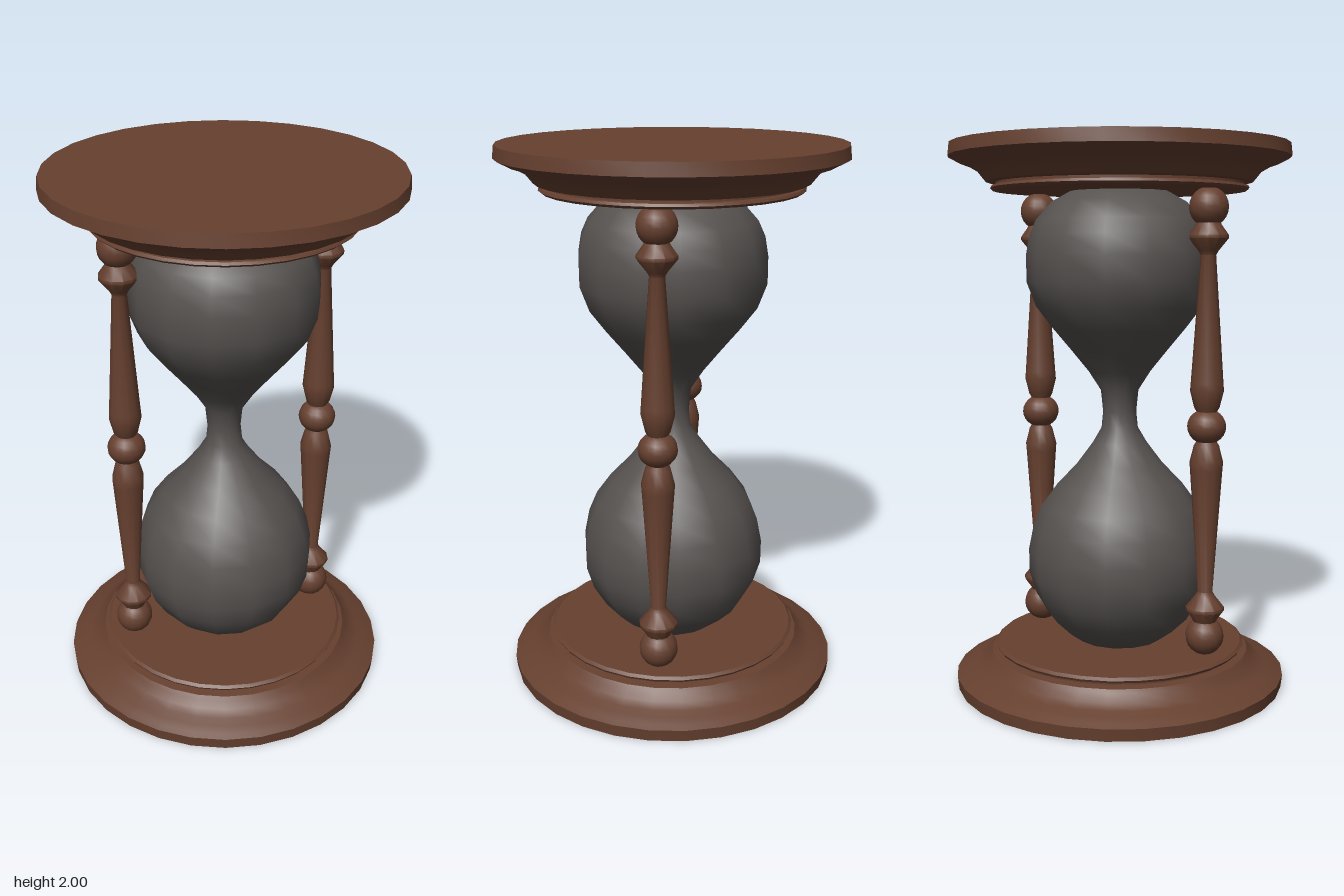
import * as THREE from 'three';
import { toCreasedNormals } from 'three/addons/utils/BufferGeometryUtils.js';

// Lathe from [radius, height] pairs listed bottom to top
function turned(name, profile, sides, material, crease = 0.6) {
  const points = profile.map(([r, y]) => new THREE.Vector2(r, y));
  const geometry = toCreasedNormals(new THREE.LatheGeometry(points, sides), crease);
  const mesh = new THREE.Mesh(geometry, material);
  mesh.name = name;
  return mesh;
}

// Flip a profile upside down about the middle height
const flipped = (profile, middle) => profile.map(([r, y]) => [r, 2 * middle - y]).reverse();

export function createModel() {
  const group = new THREE.Group();
  group.name = 'hourglass';
  const wood = new THREE.MeshStandardMaterial({ color: 0x66402f });
  wood.name = 'brown wood';
  const glass = new THREE.MeshStandardMaterial({ color: 0x565250 });
  glass.name = 'dark grey glass';

  // Moulded end plates with a thin inner disc
  const plate = [
    [0, 0], [0.615, 0], [0.62, 0.045], [0.6, 0.055], [0.575, 0.068], [0.545, 0.078],
    [0.515, 0.095], [0.495, 0.12], [0.485, 0.132], [0.45, 0.135],
    [0.45, 0.144], [0.465, 0.146], [0.47, 0.155], [0.46, 0.164], [0, 0.164],
  ];
  const base = turned('basePlate', plate, 30, wood);
  const top = turned('topPlate', flipped(plate, 1), 30, wood);
  for (const mesh of [base, top]) {
    mesh.rotation.y = Math.PI / 2;
    group.add(mesh);
  }

  // Two joined glass bulbs
  const bulb = [
    [0, 0.155], [0.155, 0.16], [0.21, 0.2], [0.267, 0.255], [0.315, 0.335], [0.342, 0.42],
    [0.343, 0.51], [0.325, 0.6], [0.293, 0.677], [0.235, 0.757], [0.16, 0.835],
    [0.1, 0.915], [0.068, 0.97], [0.062, 1.03], [0.07, 1.11], [0.115, 1.18], [0.18, 1.26],
    [0.247, 1.34], [0.308, 1.42], [0.342, 1.51], [0.342, 1.61], [0.33, 1.68],
    [0.305, 1.735], [0.246, 1.8], [0.165, 1.845], [0, 1.848],
  ];
  group.add(turned('glassBulbs', bulb, 14, glass, 0.9));

  // Turned posts: tapered shaft and collar, mirrored above and below a middle ball
  const shaft = [
    [0.03, 0.25], [0.045, 0.295], [0.07, 0.33], [0.07, 0.342], [0.035, 0.385], [0.027, 0.4],
    [0.058, 0.85], [0.06, 0.875], [0.045, 0.935], [0.03, 0.96], [0.03, 1.003],
  ];
  const ball = new THREE.SphereGeometry(0.07, 16, 12);
  for (const side of [-1, 1]) {
    const post = new THREE.Group();
    post.name = side > 0 ? 'leftPost' : 'rightPost';
    post.position.x = side * 0.375;
    post.add(turned('lowerShaft', shaft, 12, wood, 0.7));
    post.add(turned('upperShaft', flipped(shaft, 1.003), 12, wood, 0.7));
    for (const [name, y, squash] of [['lowerBall', 0.234, 1], ['middleBall', 1.003, 0.9], ['upperBall', 1.772, 1]]) {
      const mesh = new THREE.Mesh(ball, wood);
      mesh.name = name;
      mesh.position.y = y;
      mesh.scale.y = squash;
      post.add(mesh);
    }
    group.add(post);
  }
  return group;
}
